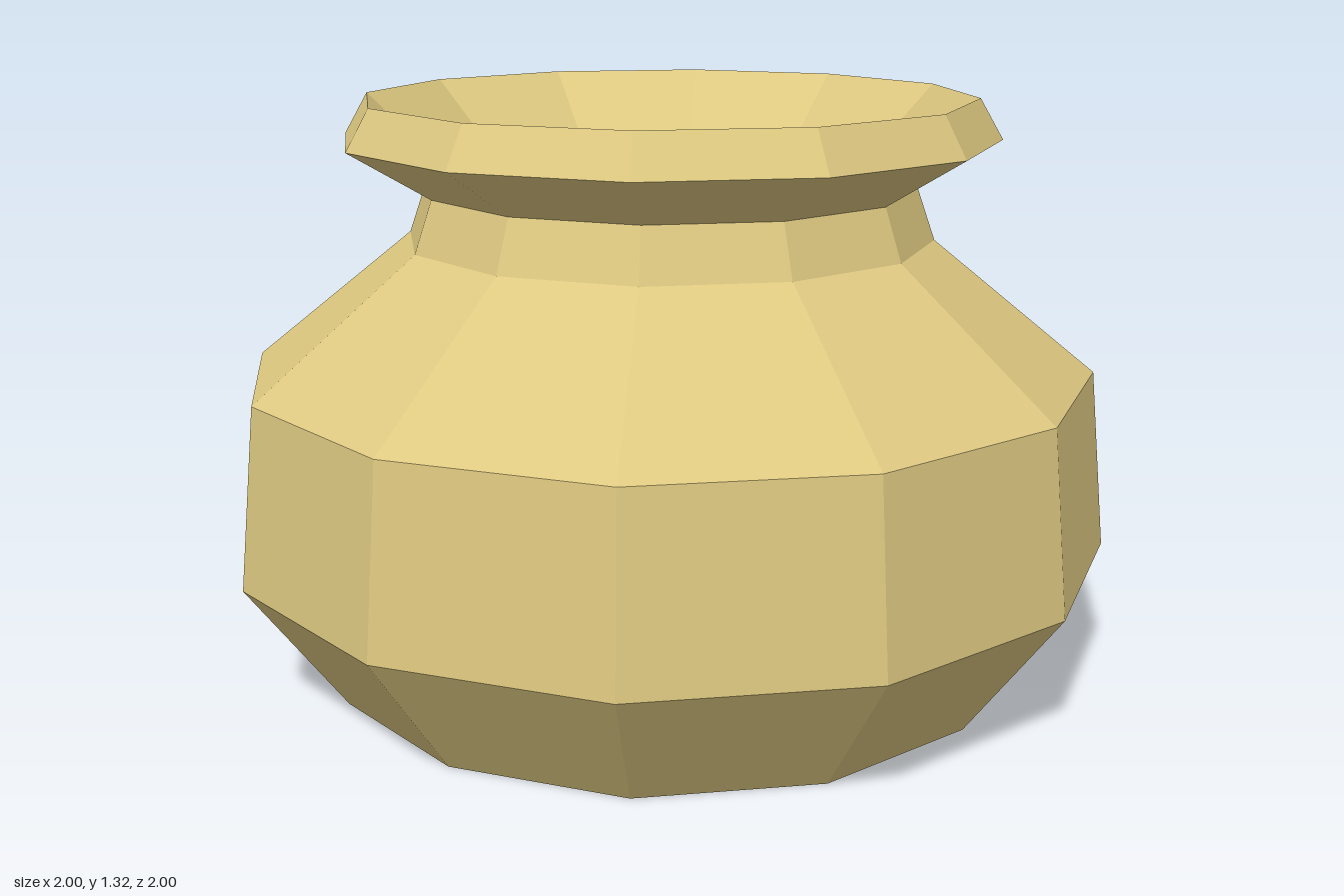
import * as THREE from 'three';

const SIDES = 12;

export function createModel() {
  const model = new THREE.Group();
  model.name = 'pot';

  const clay = new THREE.MeshStandardMaterial({ color: 0xdec981 });
  clay.name = 'sandy clay';
  const dark = new THREE.MeshStandardMaterial({ color: 0x36354f });
  dark.name = 'dark indigo';

  function add(name, geometry, material) {
    const mesh = new THREE.Mesh(geometry, material);
    mesh.name = name;
    model.add(mesh);
    return mesh;
  }

  // Faceted ring turned from a profile of [radius, height] points
  function turned(name, profile) {
    const points = profile.map(([r, y]) => new THREE.Vector2(r, y));
    const geometry = new THREE.LatheGeometry(points, SIDES).toNonIndexed();
    geometry.computeVertexNormals();
    return add(name, geometry, clay);
  }

  // Flat twelve-sided disc facing up (1) or down (-1)
  function disc(name, radius, y, facing, material) {
    const geometry = new THREE.CircleGeometry(radius, SIDES);
    geometry.rotateX(-facing * Math.PI / 2);
    geometry.translate(0, y, 0);
    return add(name, geometry, material);
  }

  disc('base', 0.78, 0, -1, clay);
  turned('body', [[0.78, 0], [1, 0.3], [0.96, 0.705], [0.595, 1]]);
  turned('neck', [[0.595, 1], [0.555, 1.115]]);
  // Flared lip, folding over into the sloping mouth
  turned('rim', [[0.555, 1.115], [0.737, 1.225], [0.685, 1.315]]);
  turned('mouth', [[0.685, 1.315], [0.48, 1.115]]);
  disc('contents', 0.48, 1.115, 1, dark);

  return model;
}
